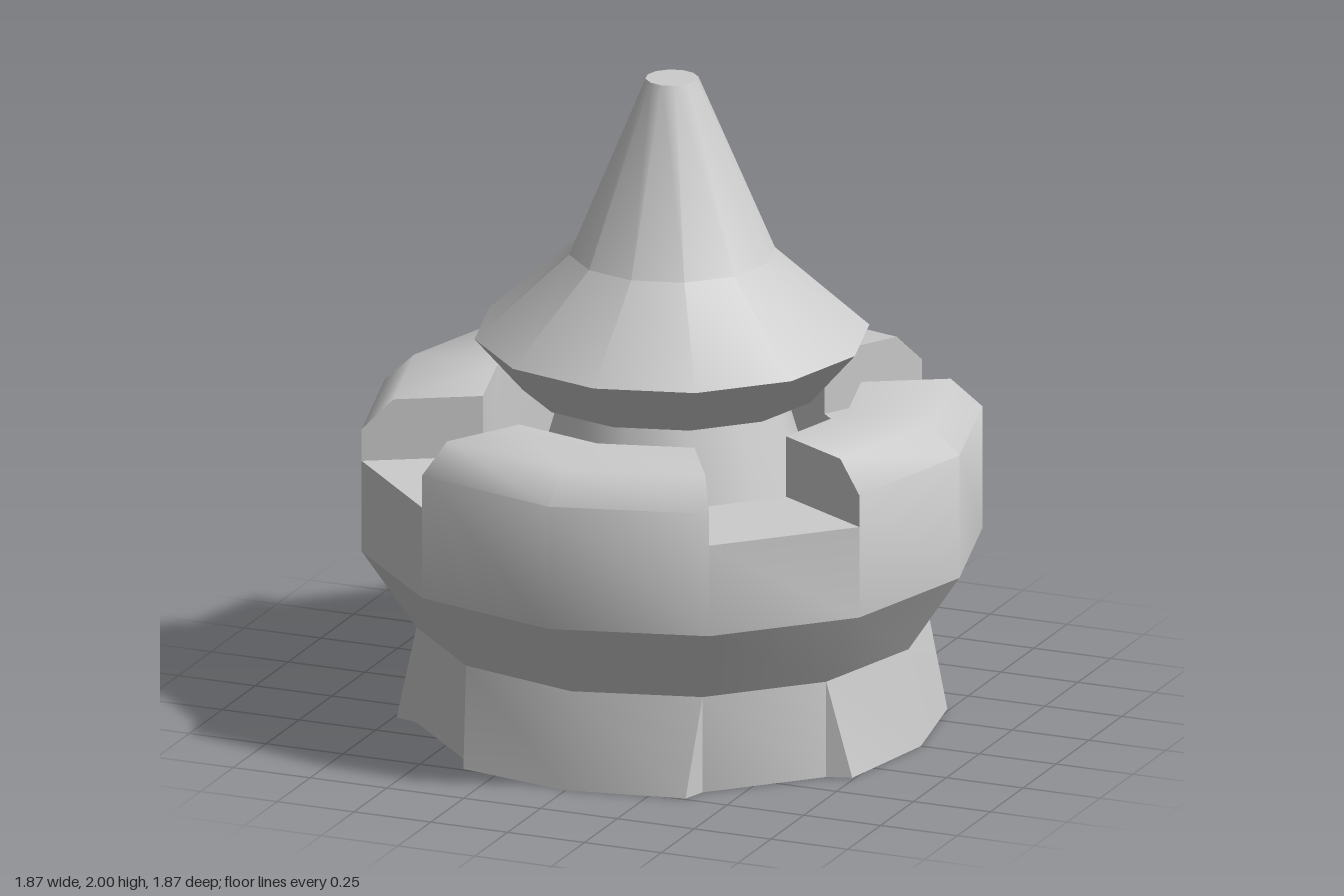
import * as THREE from 'three';
import { mergeGeometries, toCreasedNormals } from 'three/addons/utils/BufferGeometryUtils.js';

const DEG = Math.PI / 180;

export function createModel() {
  const model = new THREE.Group();
  const material = new THREE.MeshStandardMaterial({ color: 0xcccccc });

  const add = (name, geometry, crease = 0.55) => {
    const mesh = new THREE.Mesh(toCreasedNormals(geometry, crease), material);
    mesh.name = name;
    model.add(mesh);
    return mesh;
  };
  const vectors = (points) => points.map(([x, y]) => new THREE.Vector2(x, y));
  // Twelve-sided turning; start and sweep in degrees
  const turn = (points, start = 0, sweep = 360) =>
    new THREE.LatheGeometry(vectors(points), sweep / 30, start * DEG, sweep * DEG);

  // Foot, sloping underside of the bowl, and the inner column
  add('foot', turn([[0, 0], [0.77, 0], [0.77, 0.3]]));
  add('bowlUnderside', turn([[0.77, 0.3], [0.935, 0.545]]));
  add('column', turn([[0.57, 0.6], [0.46, 0.6], [0.33, 1.04]]));

  // Bowl wall: four raised crenels alternating with four notches
  const crenelTop = [[0.935, 0.93], [0.84, 1.02], [0.57, 1.02]];
  const notchProfile = [[0.935, 0.545], [0.935, 0.83], [0.57, 0.83], [0.57, 0.6]];
  const crenelProfile = [[0.935, 0.545], ...crenelTop, [0.57, 0.6]];
  const endOutline = [[0.935, 0.83], ...crenelTop, [0.57, 0.83]];
  const endCap = (angle, side) => {
    const outline = endOutline.map(([r, y]) => [-side * r, y]);
    return new THREE.ShapeGeometry(new THREE.Shape(vectors(outline)))
      .rotateY((angle + side * 90) * DEG);
  };
  const wall = [];
  for (let a = 0; a < 360; a += 90) {
    wall.push(
      turn(crenelProfile, a - 30, 60),
      turn(notchProfile, a + 30, 30),
      endCap(a - 30, -1),
      endCap(a + 30, 1),
    );
  }
  add('bowlWall', mergeGeometries(wall), 50 * DEG);

  // Flared skirt below each crenel
  const at = (r, angle, y) => [r * Math.sin(angle * DEG), y, r * Math.cos(angle * DEG)];
  const skirtPoints = [
    at(0.77, -30, 0.3), at(0.77, 0, 0.3), at(0.77, 30, 0.3), // top edge
    at(0.825, -26, 0), at(0.81, 0, 0), at(0.825, 26, 0), // flared bottom edge
    at(0.77, -30, 0), at(0.77, 0, 0), at(0.77, 30, 0), // against the foot
  ];
  const skirt = new THREE.BufferGeometry();
  skirt.setAttribute('position', new THREE.Float32BufferAttribute(skirtPoints.flat(), 3));
  skirt.setIndex([
    3, 4, 0, 4, 1, 0, 4, 5, 1, 5, 2, 1, // outside
    6, 3, 0, 5, 8, 2, // ends
    7, 3, 6, 7, 4, 3, 7, 5, 4, 7, 8, 5, // underside
  ]);
  for (let i = 0; i < 4; i++) {
    add('skirtFlare' + (i + 1), skirt).rotation.y = i * Math.PI / 2;
  }

  // Pointed cap with its blunt tip
  add('spire', turn([
    [0, 1.035], [0.45, 1.035], [0.595, 1.2], [0.31, 1.455], [0.08, 2], [0, 2],
  ]));

  return model;
}
